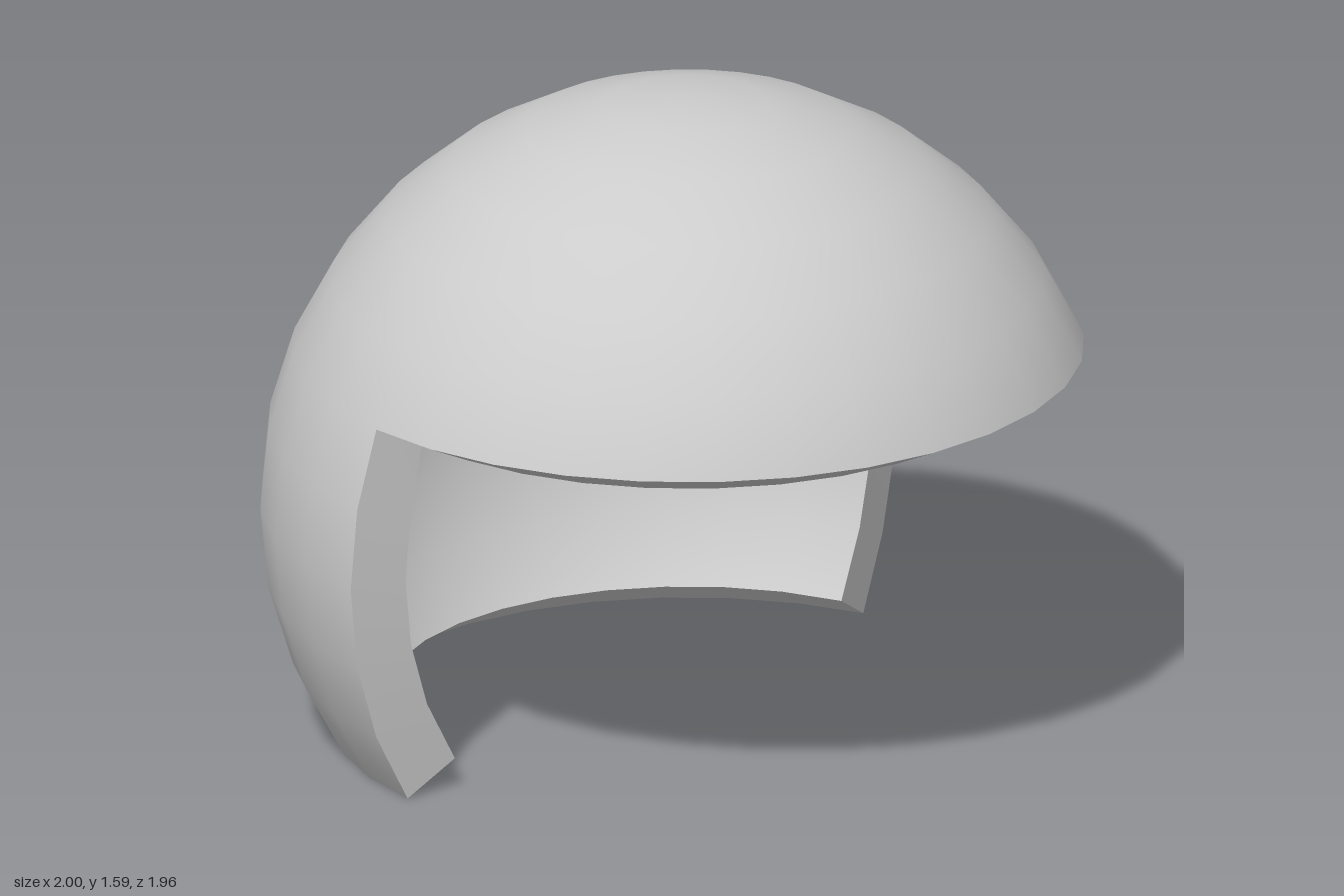
import * as THREE from 'three';

const STEP = Math.PI / 16;           // one segment of the sphere, both ways
const OUTER = 1.0196, INNER = 0.868; // shell radii
const CENTRE = new THREE.Vector3(0, 0.566, 0.039);
const RIM = 6, BOTTOM = 11;          // ring numbers of brow rim and lower edge
const CUT_L = 17, CUT_R = 31;        // segment numbers of the side edges

// Direction from the centre; inner edges lean a little so the rim is square
function direction(i, j, inner) {
  let phi = i * STEP, theta = j * STEP;
  const seg = (i + 32) % 32;
  if (inner) {
    const frontRim = j === RIM && (seg < CUT_L || seg > CUT_R);
    if (frontRim || j === BOTTOM) theta += 0.011;
    if (j > RIM && seg === CUT_L) phi -= 0.02;
    if (j > RIM && seg === CUT_R) phi += 0.02;
  }
  return new THREE.Vector3(
    -Math.cos(phi) * Math.sin(theta), Math.cos(theta), Math.sin(phi) * Math.sin(theta));
}

const point = (i, j, inner) =>
  direction(i, j, inner).multiplyScalar(inner ? INNER : OUTER).add(CENTRE);

function buildMesh(name, positions, index, normals) {
  const geometry = new THREE.BufferGeometry();
  geometry.setAttribute('position', new THREE.Float32BufferAttribute(positions, 3));
  geometry.setIndex(index);
  if (normals) geometry.setAttribute('normal', new THREE.Float32BufferAttribute(normals, 3));
  else geometry.computeVertexNormals();
  const mesh = new THREE.Mesh(geometry, new THREE.MeshStandardMaterial({ color: 0xcccccc }));
  mesh.name = name;
  return mesh;
}

// Smooth patch of the sphere, facing out or in
function patch(name, i0, i1, j0, j1, inner) {
  const positions = [], normals = [], index = [];
  const columns = i1 - i0 + 1;
  for (let j = j0; j <= j1; j++) {
    for (let i = i0; i <= i1; i++) {
      positions.push(...point(i, j, inner).toArray());
      normals.push(...direction(i, j, inner).multiplyScalar(inner ? -1 : 1).toArray());
      if (j === j1 || i === i1) continue;
      const a = (j - j0) * columns + (i - i0);
      const b = a + columns, c = b + 1, d = a + 1;
      index.push(...(inner ? [a, c, b] : [a, b, c]));
      if (j > 0) index.push(...(inner ? [a, d, c] : [a, c, d]));
    }
  }
  return buildMesh(name, positions, index, normals);
}

// Band joining outer and inner skins along a straight run of the grid
function edge(name, [i0, j0], [i1, j1]) {
  const positions = [], index = [];
  const count = Math.max(Math.abs(i1 - i0), Math.abs(j1 - j0));
  for (let k = 0; k <= count; k++) {
    const i = i0 + Math.sign(i1 - i0) * k, j = j0 + Math.sign(j1 - j0) * k;
    positions.push(...point(i, j, false).toArray(), ...point(i, j, true).toArray());
    const a = 2 * k;
    if (k < count) index.push(a, a + 2, a + 3, a, a + 3, a + 1);
  }
  return buildMesh(name, positions, index);
}

export function createModel() {
  const helmet = new THREE.Group();
  helmet.name = 'helmet';

  // Outer shell and lining: full dome above, back and sides below
  for (const inner of [false, true]) {
    const skin = inner ? 'Lining' : 'Shell';
    helmet.add(patch('dome' + skin, 0, 32, 0, RIM, inner));
    helmet.add(patch('back' + skin, CUT_L, CUT_R, RIM, BOTTOM, inner));
  }

  // Thickness around the opening
  helmet.add(
    edge('bottomEdge', [CUT_R, BOTTOM], [CUT_L, BOTTOM]),
    edge('leftEdge', [CUT_L, BOTTOM], [CUT_L, RIM]),
    edge('browEdge', [CUT_L, RIM], [CUT_R - 32, RIM]),
    edge('rightEdge', [CUT_R, RIM], [CUT_R, BOTTOM]),
  );
  return helmet;
}
